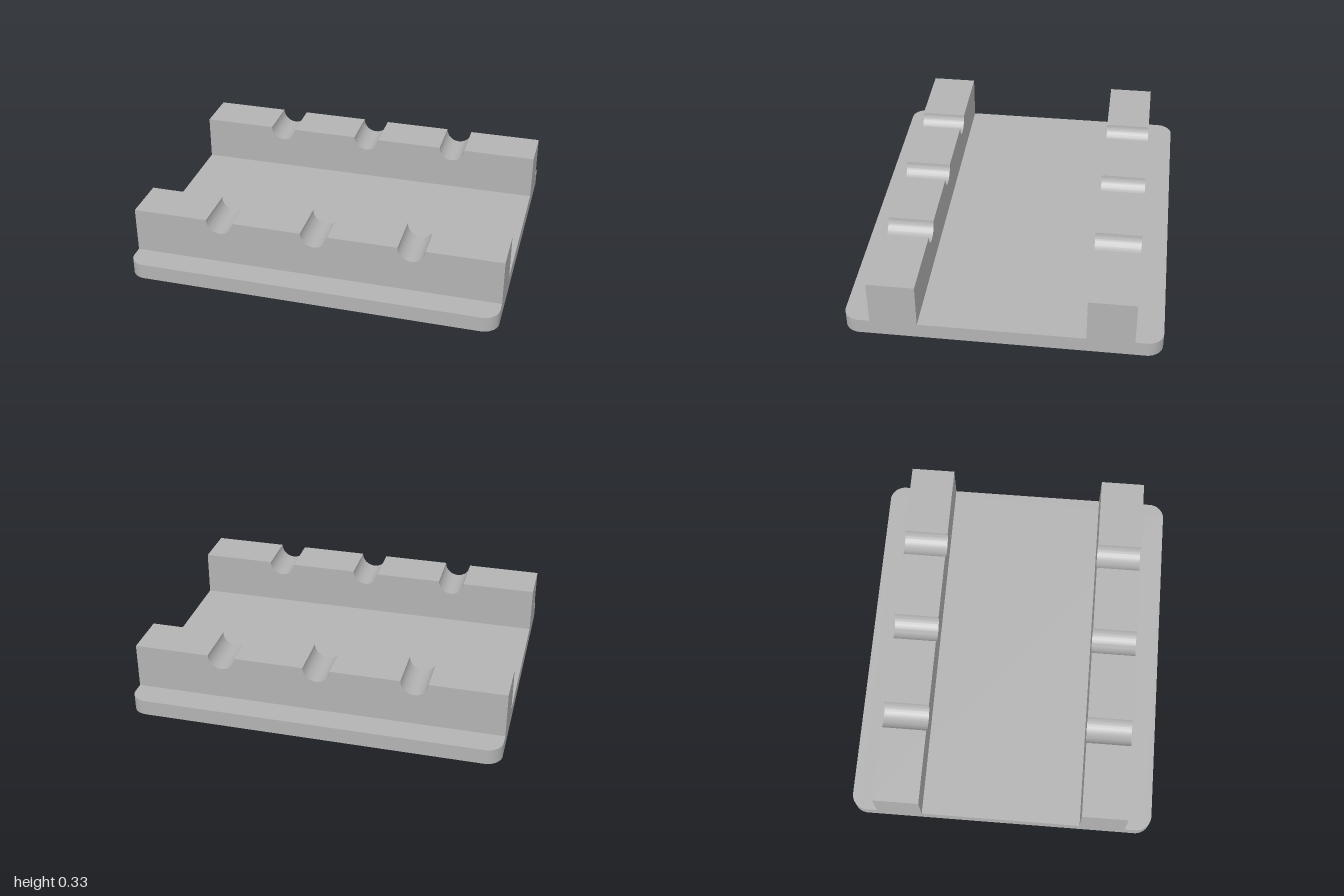
import * as THREE from 'three';
import { toCreasedNormals } from 'three/addons/utils/BufferGeometryUtils.js';

const BASE_H = 0.085, TOP = 0.333, HALF_X = 1, HALF_Z = 0.83, CORNER = 0.085;
const GROOVE_R = 0.073, GROOVES = [0.52, 0, -0.52];
const RAIL_INNER = 0.437, RAIL_DEPTH = 0.249;

// Extrudes a shape with smooth curves and sharp edges
function extrude(shape, depth) {
  const geometry = new THREE.ExtrudeGeometry(shape, { depth, bevelEnabled: false, curveSegments: 24 });
  return toCreasedNormals(geometry, 0.5);
}

// Flat plate with rounded corners
function plateShape() {
  const x = HALF_X, z = HALF_Z, r = CORNER;
  const s = new THREE.Shape();
  s.moveTo(-x + r, -z);
  s.absarc(x - r, -z + r, r, -Math.PI / 2, 0);
  s.absarc(x - r, z - r, r, 0, Math.PI / 2);
  s.absarc(-x + r, z - r, r, Math.PI / 2, Math.PI);
  s.absarc(-x + r, -z + r, r, Math.PI, Math.PI * 1.5);
  return s;
}

// Rail side outline with half-round grooves along its top edge
function railShape() {
  const s = new THREE.Shape();
  s.moveTo(-HALF_X, BASE_H);
  s.lineTo(HALF_X, BASE_H);
  s.lineTo(HALF_X, TOP);
  for (const x of GROOVES) s.absarc(x, TOP, GROOVE_R, 0, -Math.PI, true);
  s.lineTo(-HALF_X, TOP);
  s.closePath();
  return s;
}

export function createModel() {
  const group = new THREE.Group();
  group.name = 'grooved rail holder';
  const gray = new THREE.MeshStandardMaterial({ color: 0xb3b3b3 });
  gray.name = 'gray';

  const base = new THREE.Mesh(extrude(plateShape(), BASE_H).rotateX(-Math.PI / 2), gray);
  base.name = 'basePlate';
  group.add(base);

  // Two matching rails, front and back
  const railGeometry = extrude(railShape(), RAIL_DEPTH);
  for (const [name, z] of [['frontRail', RAIL_INNER], ['backRail', -RAIL_INNER - RAIL_DEPTH]]) {
    const rail = new THREE.Mesh(railGeometry, gray);
    rail.name = name;
    rail.position.z = z;
    group.add(rail);
  }
  return group;
}
